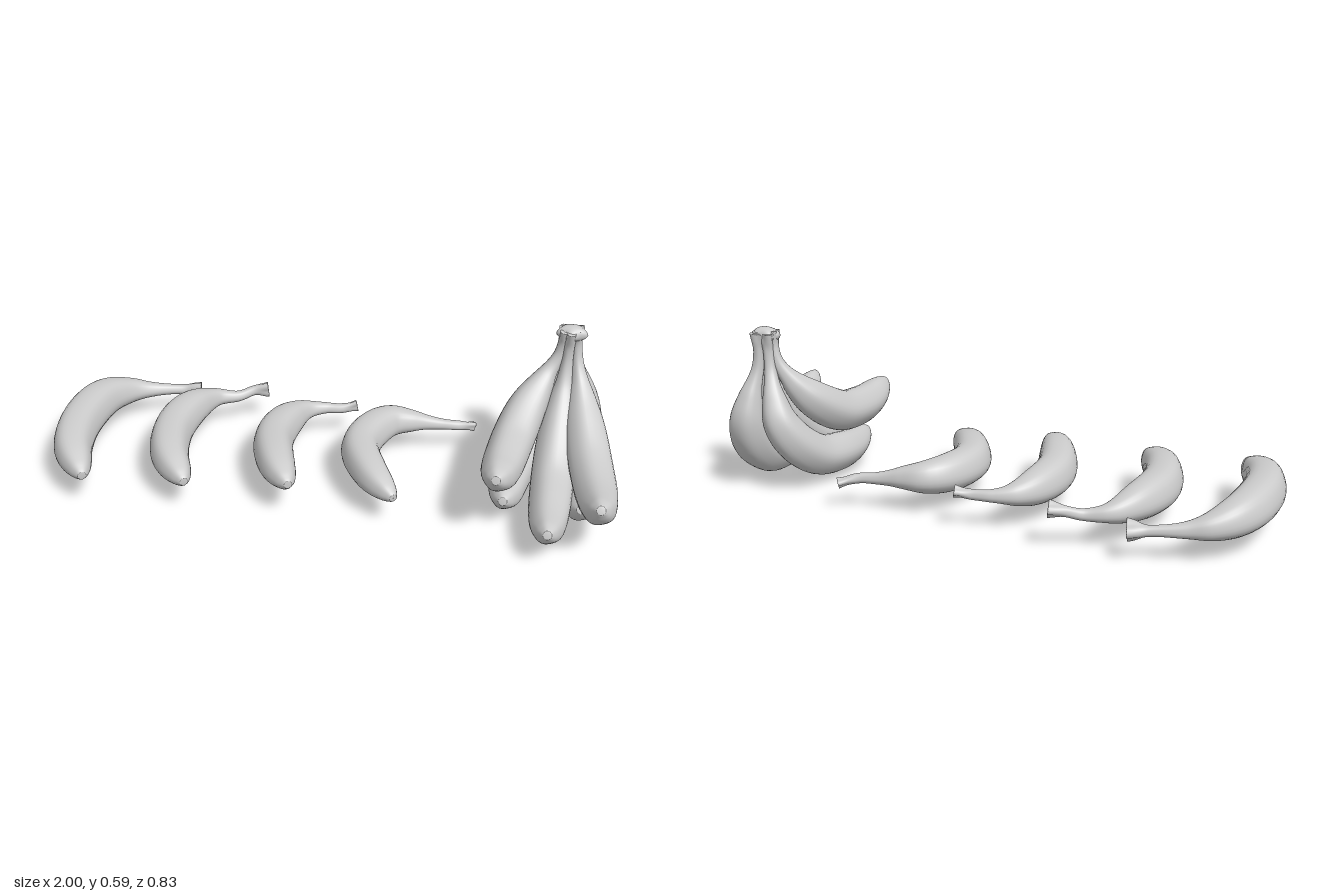
import * as THREE from 'three';

const SIDES = 30, RINGS = 72;

// [fraction of length from the tip, radius as a fraction of the belly radius]
const PROFILE = [
  [0, 0.2], [0.015, 0.33], [0.05, 0.55], [0.12, 0.8], [0.23, 0.96], [0.38, 1.02], [0.52, 1],
  [0.63, 0.87], [0.72, 0.63], [0.79, 0.41], [0.86, 0.29], [0.93, 0.26],
];

// One fruit: a softly ridged section swept along the path from tip to stem end
function banana(name, points, radius, stemEnd, material) {
  const curve = new THREE.CatmullRomCurve3(points.map(p => new THREE.Vector3(...p)));
  const profile = new THREE.SplineCurve([...PROFILE, [0.97, stemEnd * 0.85], [1, stemEnd]].map(p => new THREE.Vector2(...p)));
  const frames = curve.computeFrenetFrames(200);
  const position = [], index = [];
  const addRing = (u, r) => {
    const k = Math.round(u * 200), c = curve.getPointAt(u);
    for (let j = 0; j < SIDES; j++) {
      const a = j / SIDES * Math.PI * 2;
      const ridge = 1 + 0.025 * Math.cos(5 * a);
      // knobbly cut at the end of the stem
      const knob = 1 + 0.25 * THREE.MathUtils.smoothstep(u, 0.92, 1) * Math.cos(3 * a + 1);
      const v = c.clone()
        .addScaledVector(frames.normals[k], Math.cos(a) * r * ridge * knob)
        .addScaledVector(frames.binormals[k], Math.sin(a) * r * ridge * knob);
      position.push(v.x, v.y, v.z);
    }
  };
  addRing(0, 0.0005);
  for (let i = 0; i <= RINGS; i++) {
    const p = profile.getPoint(i / RINGS);
    addRing(THREE.MathUtils.clamp(p.x, 0, 1), p.y * radius);
  }
  addRing(1, stemEnd * radius * 0.75);
  addRing(1, 0.0005);
  for (let i = 0; i < RINGS + 3; i++) {
    for (let j = 0; j < SIDES; j++) {
      const a = i * SIDES + j, b = i * SIDES + (j + 1) % SIDES;
      index.push(a, b, a + SIDES, b, b + SIDES, a + SIDES);
    }
  }
  const geometry = new THREE.BufferGeometry();
  geometry.setAttribute('position', new THREE.Float32BufferAttribute(position, 3));
  geometry.setIndex(index);
  geometry.computeVertexNormals();
  const mesh = new THREE.Mesh(geometry, material);
  mesh.name = name;
  return mesh;
}

export function createModel() {
  const model = new THREE.Group();
  model.name = 'bananas';
  const material = new THREE.MeshStandardMaterial({ color: 0xcccccc, side: THREE.DoubleSide });

  // Four loose bananas lying in a row
  const loose = [
    { r: 0.073, end: 0.46, path: [[-0.81, 0.125, 0.325], [-0.9, 0.135, 0.16], [-0.927, 0.14, -0.02], [-0.9, 0.135, -0.2],
      [-0.835, 0.12, -0.29], [-0.76, 0.11, -0.33], [-0.665, 0.105, -0.36], [-0.58, 0.1, -0.38]] },
    { r: 0.07, end: 0.38, path: [[-0.455, 0.125, 0.295], [-0.55, 0.13, 0.14], [-0.587, 0.13, -0.04], [-0.56, 0.13, -0.2],
      [-0.5, 0.12, -0.3], [-0.42, 0.115, -0.335], [-0.365, 0.13, -0.365], [-0.315, 0.135, -0.38]] },
    { r: 0.069, end: 0.28, path: [[-0.095, 0.145, 0.275], [-0.165, 0.14, 0.14], [-0.215, 0.13, -0.04], [-0.195, 0.125, -0.185],
      [-0.15, 0.122, -0.265], [-0.085, 0.12, -0.3], [-0.02, 0.12, -0.31], [0.035, 0.13, -0.33]] },
    { r: 0.067, end: 0.25, path: [[0.262, 0.12, 0.25], [0.165, 0.13, 0.125], [0.1, 0.13, -0.035], [0.12, 0.13, -0.155],
      [0.175, 0.13, -0.235], [0.255, 0.125, -0.26], [0.35, 0.115, -0.275], [0.415, 0.11, -0.285], [0.475, 0.095, -0.32]] },
  ];
  loose.forEach((b, i) => model.add(banana('looseBanana' + (i + 1), b.path, b.r, b.end, material)));

  // Upright bunch of five joined at the stem
  const bunch = new THREE.Group();
  bunch.name = 'bunch';
  const hand = {
    upperRight: [[0.945, 0.255, 0.395], [0.94, 0.2, 0.29], [0.927, 0.18, 0.17], [0.9, 0.205, 0.02], [0.87, 0.285, -0.1],
      [0.845, 0.38, -0.175], [0.825, 0.47, -0.21], [0.815, 0.58, -0.215]],
    upperLeft: [[0.605, 0.28, 0.325], [0.61, 0.24, 0.2], [0.62, 0.235, 0.1], [0.635, 0.25, 0], [0.67, 0.315, -0.11],
      [0.72, 0.4, -0.18], [0.762, 0.48, -0.205], [0.78, 0.58, -0.2]],
    lowerMiddle: [[0.785, 0.145, 0.405], [0.782, 0.107, 0.29], [0.782, 0.105, 0.17], [0.782, 0.13, 0.04], [0.784, 0.22, -0.08],
      [0.787, 0.34, -0.16], [0.792, 0.46, -0.195], [0.797, 0.58, -0.19]],
    lowerRight: [[0.885, 0.12, 0.2], [0.88, 0.08, 0.1], [0.875, 0.075, 0], [0.872, 0.1, -0.12], [0.868, 0.17, -0.215],
      [0.86, 0.26, -0.26], [0.845, 0.35, -0.255], [0.825, 0.45, -0.23], [0.815, 0.575, -0.228]],
    lowerLeft: [[0.625, 0.12, 0.2], [0.628, 0.095, 0.1], [0.635, 0.095, 0], [0.66, 0.115, -0.12], [0.69, 0.18, -0.215],
      [0.725, 0.265, -0.26], [0.75, 0.35, -0.255], [0.775, 0.45, -0.23], [0.785, 0.575, -0.225]],
  };
  for (const [name, path] of Object.entries(hand)) {
    bunch.add(banana(name + 'Banana', path, 0.072, 0.36, material));
  }

  // Lumpy crown where the stems meet
  const crownGeometry = new THREE.SphereGeometry(1, 28, 16);
  const p = crownGeometry.attributes.position, v = new THREE.Vector3();
  for (let i = 0; i < p.count; i++) {
    v.fromBufferAttribute(p, i);
    const lump = 1 + 0.12 * Math.sin(5 * Math.atan2(v.z, v.x)) * (1 - v.y * v.y);
    p.setXYZ(i, v.x * 0.05 * lump, v.y * 0.028, v.z * 0.036 * lump);
  }
  crownGeometry.computeVertexNormals();
  const crown = new THREE.Mesh(crownGeometry, material);
  crown.name = 'crown';
  crown.position.set(0.8, 0.567, -0.208);
  bunch.add(crown);
  model.add(bunch);
  return model;
}
